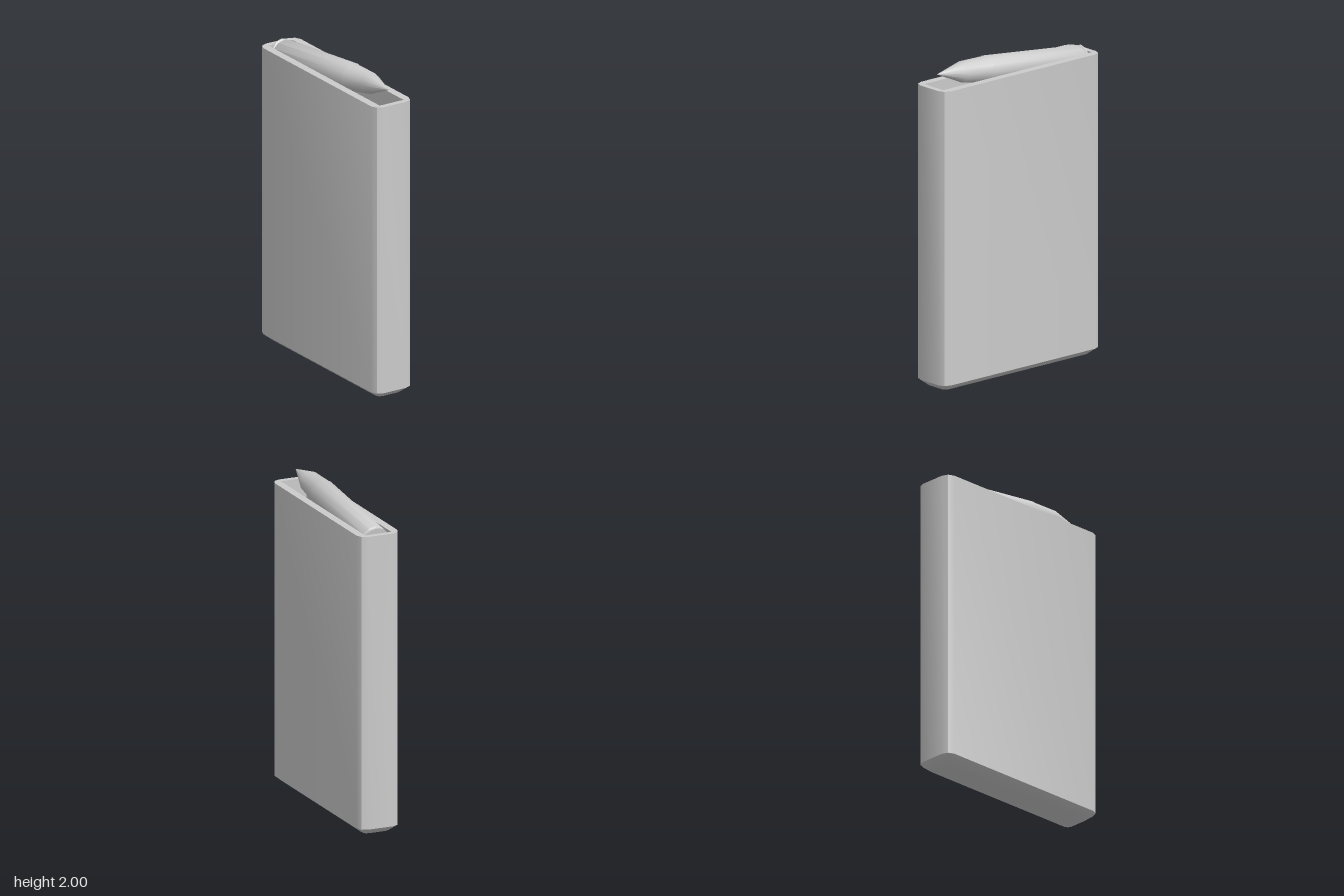
import * as THREE from 'three';
import { toCreasedNormals } from 'three/addons/utils/BufferGeometryUtils.js';
import { ConvexGeometry } from 'three/addons/geometries/ConvexGeometry.js';

const HALF_X = 0.136, HALF_Z = 0.636, RIM_Y = 1.885, BASE_Y = 0.04;
const CREASE = THREE.MathUtils.degToRad(45);

// Rectangle outline with each corner rounded in a few steps, counter-clockwise
function roundedOutline(hx, hy, radius, steps) {
  const points = [];
  const corners = [[1, 1], [-1, 1], [-1, -1], [1, -1]];
  corners.forEach(([sx, sy], i) => {
    for (let j = 0; j <= steps; j++) {
      const a = (i + j / steps) * Math.PI / 2;
      points.push(new THREE.Vector2(
        sx * (hx - radius) + radius * Math.cos(a),
        sy * (hy - radius) + radius * Math.sin(a)));
    }
  });
  return points;
}

export function createModel() {
  const group = new THREE.Group();
  const material = new THREE.MeshStandardMaterial({ color: 0xcccccc });
  const add = (name, geometry) => {
    const mesh = new THREE.Mesh(geometry, material);
    mesh.name = name;
    group.add(mesh);
    return mesh;
  };

  // Hollow case: rounded outside, square-cornered opening
  const outline = roundedOutline(HALF_X, HALF_Z, 0.055, 2);
  const wall = new THREE.Shape(outline);
  wall.holes.push(new THREE.Path([
    new THREE.Vector2(-0.086, -0.6), new THREE.Vector2(-0.086, 0.6),
    new THREE.Vector2(0.086, 0.6), new THREE.Vector2(0.086, -0.6),
  ]));
  const caseGeometry = new THREE.ExtrudeGeometry(wall, { depth: RIM_Y - BASE_Y, bevelEnabled: false });
  caseGeometry.rotateX(-Math.PI / 2).translate(0, BASE_Y, 0);
  add('caseWalls', toCreasedNormals(caseGeometry, CREASE));

  // Floor plate, bevelled in towards the underside
  const underside = roundedOutline(HALF_X - 0.05, HALF_Z - 0.05, 0.03, 2);
  const basePoints = [
    ...outline.map(p => new THREE.Vector3(p.x, BASE_Y, p.y)),
    ...underside.map(p => new THREE.Vector3(p.x, 0, p.y)),
  ];
  add('caseFloor', toCreasedNormals(new ConvexGeometry(basePoints), CREASE));

  // Round lying in the mouth, nose tilted up: [radius, distance along axis]
  const profile = [
    [0, 0], [0.086, 0], [0.086, 0.012], [0.078, 0.018], [0.078, 0.026], [0.086, 0.034],
    [0.086, 0.765], [0.082, 0.775], [0.066, 0.96], [0, 1.162],
  ].map(([r, y]) => new THREE.Vector2(r, y));
  const roundGeometry = new THREE.LatheGeometry(profile, 12);
  const round = add('cartridge', toCreasedNormals(roundGeometry, CREASE));
  round.rotation.x = Math.PI / 2 - Math.atan(0.112);
  round.position.set(0, 1.83, -0.58);

  return group;
}
